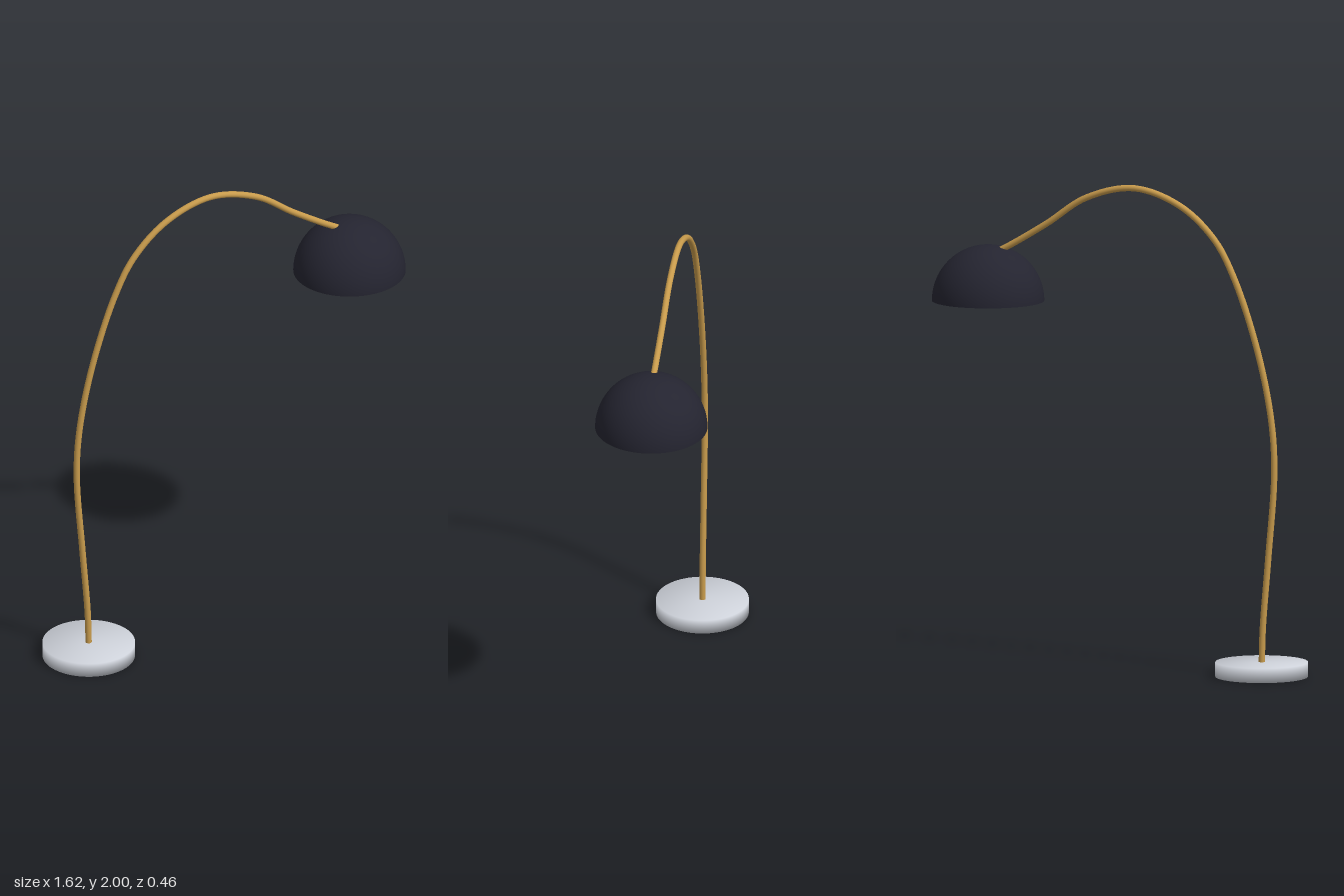
import * as THREE from 'three';
import { mergeVertices } from 'three/addons/utils/BufferGeometryUtils.js';

const material = (name, color, side = THREE.FrontSide) => {
  const m = new THREE.MeshStandardMaterial({ color, side });
  m.name = name;
  return m;
};

// Disc whose shading runs softly over its rim
function softDisc(radius, height) {
  const g = new THREE.CylinderGeometry(radius, radius, height, 64);
  g.deleteAttribute('normal');
  g.deleteAttribute('uv');
  const merged = mergeVertices(g, 1e-4);
  merged.computeVertexNormals();
  return merged;
}

export function createModel() {
  const group = new THREE.Group();
  const brass = material('brass', 0xc89b4c);
  const black = material('black enamel', 0x242430);
  const stone = material('pale stone', 0xcdd1d9);
  const glow = material('warm diffuser', 0xf0d49a);

  const add = (name, geometry, mat, x, y) => {
    const mesh = new THREE.Mesh(geometry, mat);
    mesh.name = name;
    mesh.position.set(x, y, 0);
    group.add(mesh);
  };

  // Heavy round foot
  add('base', softDisc(0.19, 0.06), stone, -0.62, 0.03);

  // Arched stem, rising from the foot and ending inside the shade
  const path = new THREE.CatmullRomCurve3([
    [-0.62, 0.04], [-0.625, 0.2], [-0.648, 0.48], [-0.675, 0.84], [-0.663, 1.05],
    [-0.605, 1.33], [-0.5, 1.635], [-0.41, 1.795], [-0.26, 1.925], [-0.06, 1.987],
    [0.15, 1.937], [0.325, 1.82], [0.5, 1.715], [0.56, 1.685],
  ].map(([x, y]) => new THREE.Vector3(x, y, 0)));
  add('stem', new THREE.TubeGeometry(path, 120, 0.013, 16, false), brass, 0, 0);

  // Dome shade with a flat underside
  add('shade', new THREE.SphereGeometry(0.23, 64, 24, 0, Math.PI * 2, 0, Math.PI / 2), black, 0.58, 1.49);
  const underside = new THREE.CircleGeometry(0.23, 64);
  underside.rotateX(Math.PI / 2);
  add('shadeUnderside', underside, black, 0.58, 1.49);

  // Light diffuser set in the underside
  add('diffuser', softDisc(0.17, 0.008), glow, 0.58, 1.491);

  return group;
}
